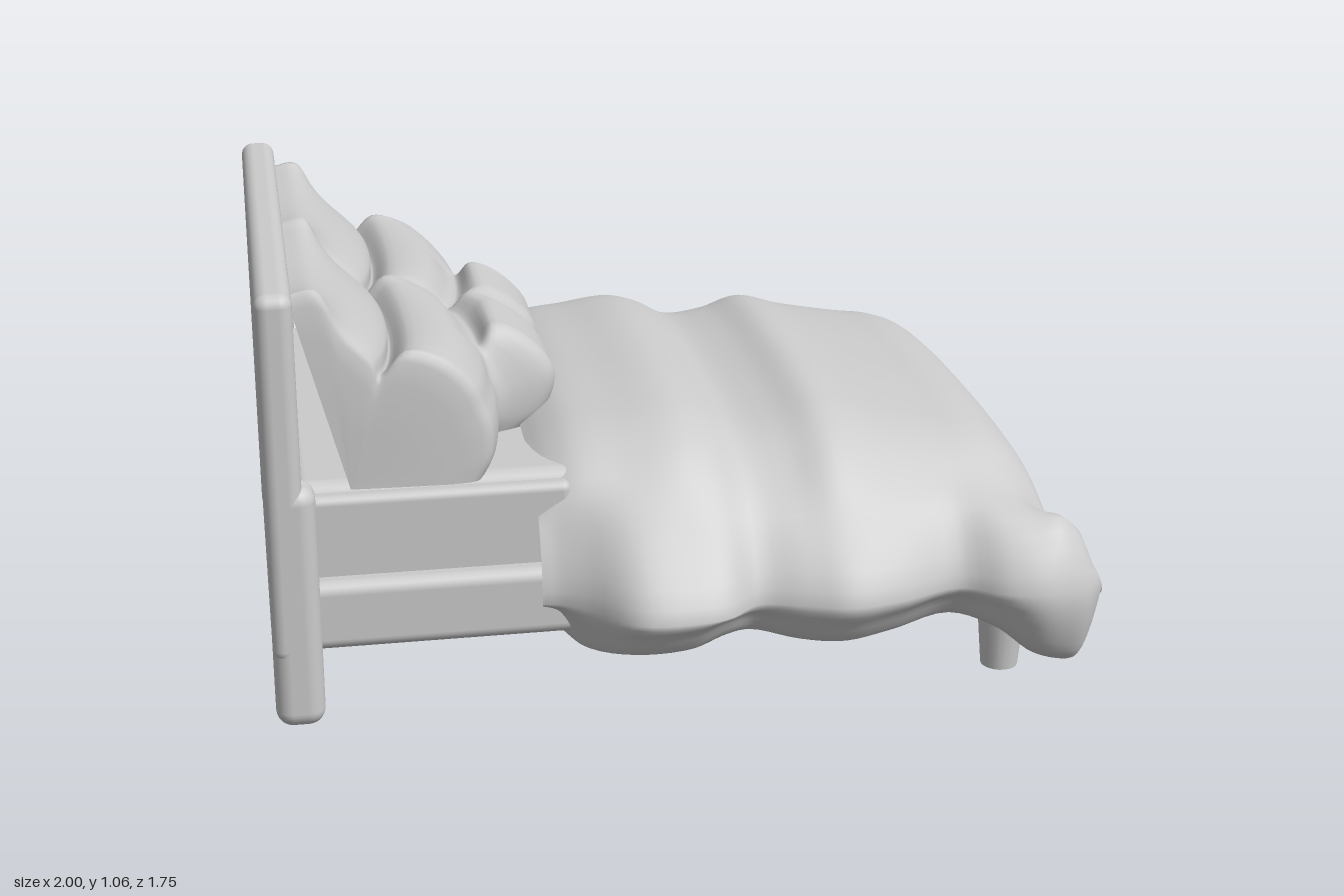
import * as THREE from 'three';
import { RoundedBoxGeometry } from 'three/addons/geometries/RoundedBoxGeometry.js';

const { lerp, smoothstep } = THREE.MathUtils;
const grey = new THREE.MeshStandardMaterial({ color: 0xcccccc, side: THREE.DoubleSide });

function add(group, name, geometry, x = 0, y = 0, z = 0) {
  const mesh = new THREE.Mesh(geometry, grey);
  mesh.name = name;
  mesh.position.set(x, y, z);
  group.add(mesh);
}

// Smooth skin through cross-sections that share the same number of points
function loft(rings, along, around, closed) {
  const rails = rings[0].map((_, j) => new THREE.CatmullRomCurve3(rings.map(r => r[j])));
  const count = closed ? around : around + 1;
  const pos = [], index = [];
  for (let i = 0; i <= along; i++) {
    const ring = new THREE.CatmullRomCurve3(rails.map(c => c.getPoint(i / along)), closed);
    for (let j = 0; j < count; j++) pos.push(...ring.getPoint(j / around).toArray());
  }
  for (let i = 0; i < along; i++) {
    for (let j = 0; j < around; j++) {
      const a = i * count + j, b = i * count + (j + 1) % count;
      index.push(a, b, a + count, b, b + count, a + count);
    }
  }
  const g = new THREE.BufferGeometry();
  g.setAttribute('position', new THREE.Float32BufferAttribute(pos, 3));
  g.setIndex(index);
  g.computeVertexNormals();
  return g;
}

// Blanket stations from head to foot: x, top height, half width, side hem height
const stations = [
  [-0.37, 0.58, 0.7, 0.19], [-0.33, 0.61, 0.71, 0.18], [-0.27, 0.64, 0.75, 0.14],
  [-0.16, 0.655, 0.86, 0.16], [-0.03, 0.67, 0.87, 0.17], [0.05, 0.65, 0.85, 0.19],
  [0.13, 0.61, 0.79, 0.17], [0.24, 0.62, 0.82, 0.15], [0.34, 0.65, 0.85, 0.15],
  [0.46, 0.62, 0.83, 0.16], [0.62, 0.59, 0.78, 0.17], [0.72, 0.575, 0.84, 0.15],
  [0.8, 0.54, 0.86, 0.09], [0.87, 0.47, 0.85, 0.06], [0.92, 0.38, 0.83, 0.05],
  [0.96, 0.29, 0.79, 0.08], [0.985, 0.23, 0.75, 0.14], [0.995, 0.2, 0.72, 0.19],
];

// Closed cross-section: over the top, down the drape, back along the lining
function blanketRing([x, top, w, hem]) {
  const drop = smoothstep(x, 0.5, 0.86);
  const lining = lerp(top - 0.1, 0.19, drop);
  const half = [
    [0, top], [0.3, top - 0.008], [0.5, top - 0.035], [0.62, top - 0.1 * smoothstep(top, 0.2, 0.5)],
    [lerp(0.62, w, 0.55), 0.42], [w, 0.27], [w - 0.03, hem + 0.06],
    [w - 0.08, hem], [0.63, hem + 0.02],
    [0.595, lerp(0.3, 0.19, drop)], [0.56, lining], [0.3, lining], [0, lining],
  ].map(([z, y]) => [z, Math.min(y, top)]);
  const mirrored = half.slice(1, -1).reverse().map(([z, y]) => [-z, y]);
  // The middle of the foot stays back, the corners flare out
  const inner = Math.min(x, 0.9 + (x - 0.9) * 0.25);
  return [...half, ...mirrored].map(([z, y]) =>
    new THREE.Vector3(lerp(inner, x, smoothstep(Math.abs(z), 0.5, 0.66)), y, z));
}

// Profile of the pillow heap from the headboard down to the blanket at a given z
function pillowRing(z) {
  const seam = 1 - Math.sqrt(Math.abs(Math.sin(Math.PI * z / 0.59)));
  const front = 1 - smoothstep(Math.abs(z), 0.27, 0.34);
  const frontSeam = front * (1 - smoothstep(Math.abs(z), 0, 0.07));
  const flat = [[-0.45, 0.73], [-0.435, 0.69], [-0.43, 0.65], [-0.435, 0.6], [-0.46, 0.55]];
  const full = [[-0.43, 0.825], [-0.35, 0.79], [-0.28, 0.7], [-0.3, 0.61], [-0.36, 0.56]];
  const points = [
    // back row
    [-0.925, 1.0 + 0.03 * seam], [-0.86, 1.0 + 0.04 * seam], [-0.77 - 0.05 * seam, 0.94],
    [-0.69 - 0.06 * seam, 0.86], [-0.685 - 0.05 * seam, 0.82],
    // middle row
    [-0.64 - 0.03 * seam, 0.86 + 0.02 * seam], [-0.54 - 0.05 * seam, 0.85],
    [-0.47 - 0.05 * seam, 0.78],
    // front row, merging into the middle row at its sides
    ...full.map(([x, y], i) => [
      lerp(flat[i][0] - 0.05 * seam * (1 - front), x, front) - 0.03 * frontSeam,
      lerp(flat[i][1], y, front)]),
  ];
  return points.map(([x, y]) => new THREE.Vector3(x, y, z + 0.01));
}

function pillowGeometry() {
  const rings = [];
  for (let i = 0; i <= 40; i++) rings.push(pillowRing(0.58 - 0.029 * i));
  // Rounded ends closing down onto the mattress
  const cap = (ring, k, dz) => ring.map(p =>
    new THREE.Vector3(lerp(-0.8, p.x, k), lerp(0.55, p.y, k), p.z + dz));
  const [first, last] = [rings[0], rings[40]];
  return loft([cap(first, 0, 0.01), cap(first, 0.9, 0.015), ...rings,
    cap(last, 0.9, -0.015), cap(last, 0, -0.01)], 110, 60, false);
}

export function createModel() {
  const bed = new THREE.Group();
  bed.name = 'bed';

  // Headboard
  add(bed, 'headboard', new RoundedBoxGeometry(0.085, 0.89, 1.43, 4, 0.03), -0.957, 0.615, 0);

  // Mattress at the head end, running under the blanket
  add(bed, 'mattress', new RoundedBoxGeometry(0.7, 0.12, 1.2, 4, 0.04), -0.59, 0.505, 0);

  for (const s of [1, -1]) {
    // Headboard posts, foot legs and side rails
    add(bed, 'headboardPost', new RoundedBoxGeometry(0.115, 0.6, 0.11, 4, 0.04), -0.942, 0.3, s * 0.66);
    add(bed, 'footLeg', new THREE.CylinderGeometry(0.065, 0.045, 0.22, 20), 0.765, 0.115, s * 0.66);
    add(bed, 'sideRail', new RoundedBoxGeometry(0.72, 0.17, 0.085, 4, 0.03), -0.58, 0.265, s * 0.64);
    add(bed, 'mattressSide', new RoundedBoxGeometry(0.66, 0.25, 0.05, 4, 0.02), -0.62, 0.42, s * 0.61);
  }

  // Three rows of pillows leaning on the headboard
  add(bed, 'pillows', pillowGeometry());

  // Blanket draped over the sides and the foot
  add(bed, 'blanket', loft(stations.map(blanketRing), 80, 96, true));
  return bed;
}
